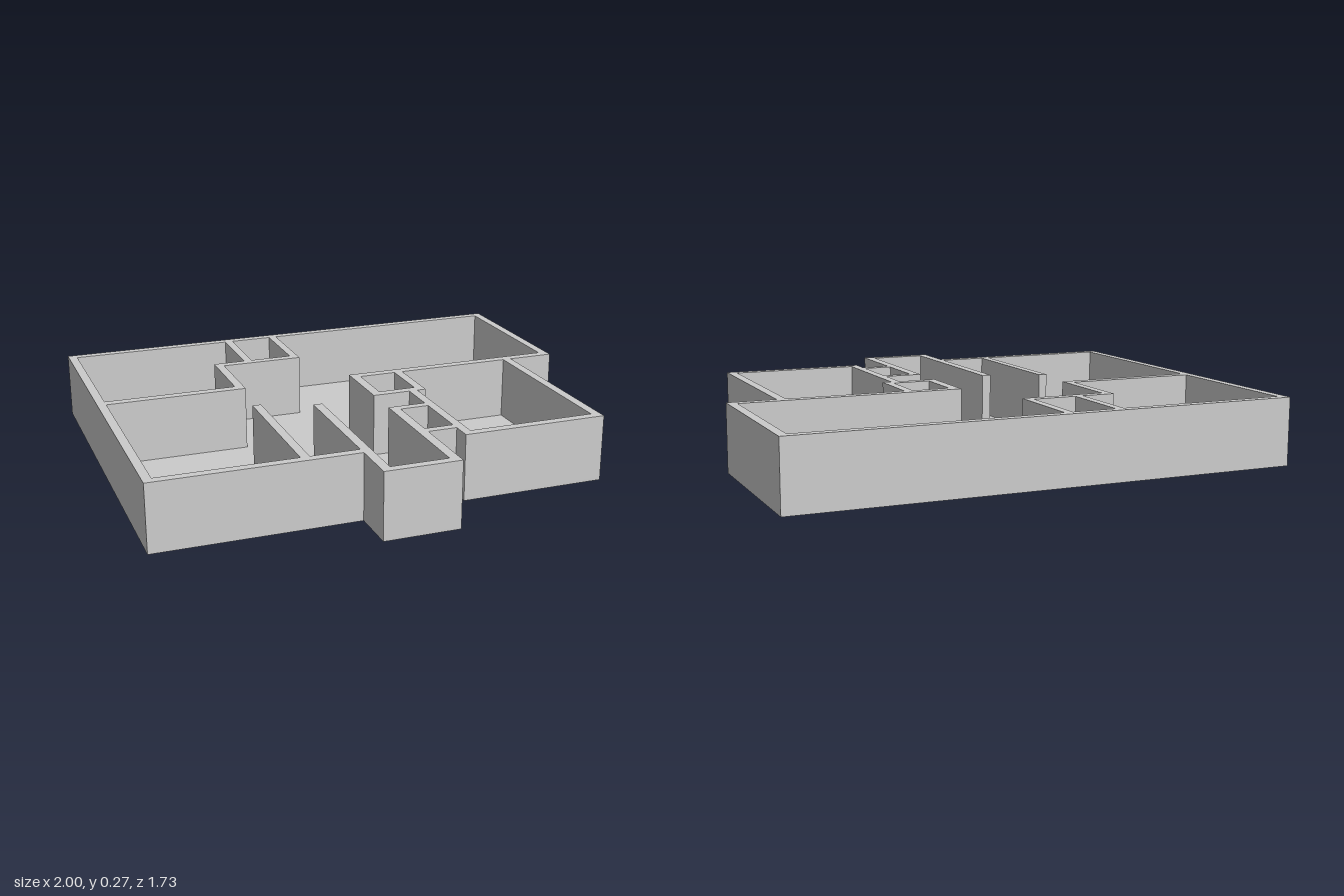
import * as THREE from 'three';

const HEIGHT = 0.267;
const FLOOR = 0.01;

// Plan corners are [x, z], clockwise from above; shapes are drawn in x, -z and laid flat afterwards.
const toPoints = (plan) => plan.map(([x, z]) => new THREE.Vector2(x, -z));
const rect = (x0, z0, x1, z1) => [[x0, z0], [x1, z0], [x1, z1], [x0, z1]];

// Outside of the building
const outline = [
  [-1, -0.865], [1, -0.865], [1, -0.144], [0.807, -0.144], [0.807, 0.638], [0.22, 0.638],
  [0.22, 0.557], [0.103, 0.557], [0.103, 0.864], [-0.2, 0.864], [-0.2, 0.673], [-1, 0.673],
];

const rooms = [
  // back left room
  [[-0.965, -0.83], [-0.293, -0.83], [-0.293, -0.525], [-0.428, -0.525], [-0.428, -0.203], [-0.965, -0.203]],
  // small back closet
  rect(-0.26, -0.83, -0.085, -0.525),
  // open living area with hall, alcove and two free-standing partitions
  [
    [-0.052, -0.83], [0.965, -0.83], [0.965, -0.182], [0.065, -0.182], [0.065, 0.103], [0.22, 0.103],
    [0.22, 0.257], [0.065, 0.257], [0.065, 0.829], [-0.163, 0.829], [-0.163, 0.122], [-0.2, 0.122],
    [-0.2, 0.637], [-0.393, 0.637], [-0.393, 0.047], [-0.428, 0.047], [-0.428, 0.637], [-0.965, 0.637],
    [-0.965, -0.165], [-0.393, -0.165], [-0.393, -0.489], [-0.052, -0.489],
  ],
  // two small closets
  rect(0.103, -0.144, 0.257, 0.066),
  rect(0.103, 0.291, 0.22, 0.523),
  // front right room
  [[0.292, -0.144], [0.771, -0.144], [0.771, 0.602], [0.255, 0.602], [0.255, 0.103], [0.292, 0.103]],
];

// Extrudes a plan upward from a base height; holes run against the outline
function slab(name, holes, base, height, material) {
  const shape = new THREE.Shape(toPoints(outline));
  shape.holes = holes.map((plan) => new THREE.Path(toPoints(plan).reverse()));
  const geometry = new THREE.ExtrudeGeometry(shape, { depth: height, bevelEnabled: false });
  geometry.rotateX(-Math.PI / 2);
  const mesh = new THREE.Mesh(geometry, material);
  mesh.name = name;
  mesh.position.y = base;
  return mesh;
}

export function createModel() {
  const material = new THREE.MeshStandardMaterial({ color: 0xcccccc });
  const group = new THREE.Group();
  group.name = 'floorPlan';
  group.add(slab('floor', [], 0, FLOOR, material));
  group.add(slab('walls', rooms, FLOOR, HEIGHT - FLOOR, material));
  return group;
}
